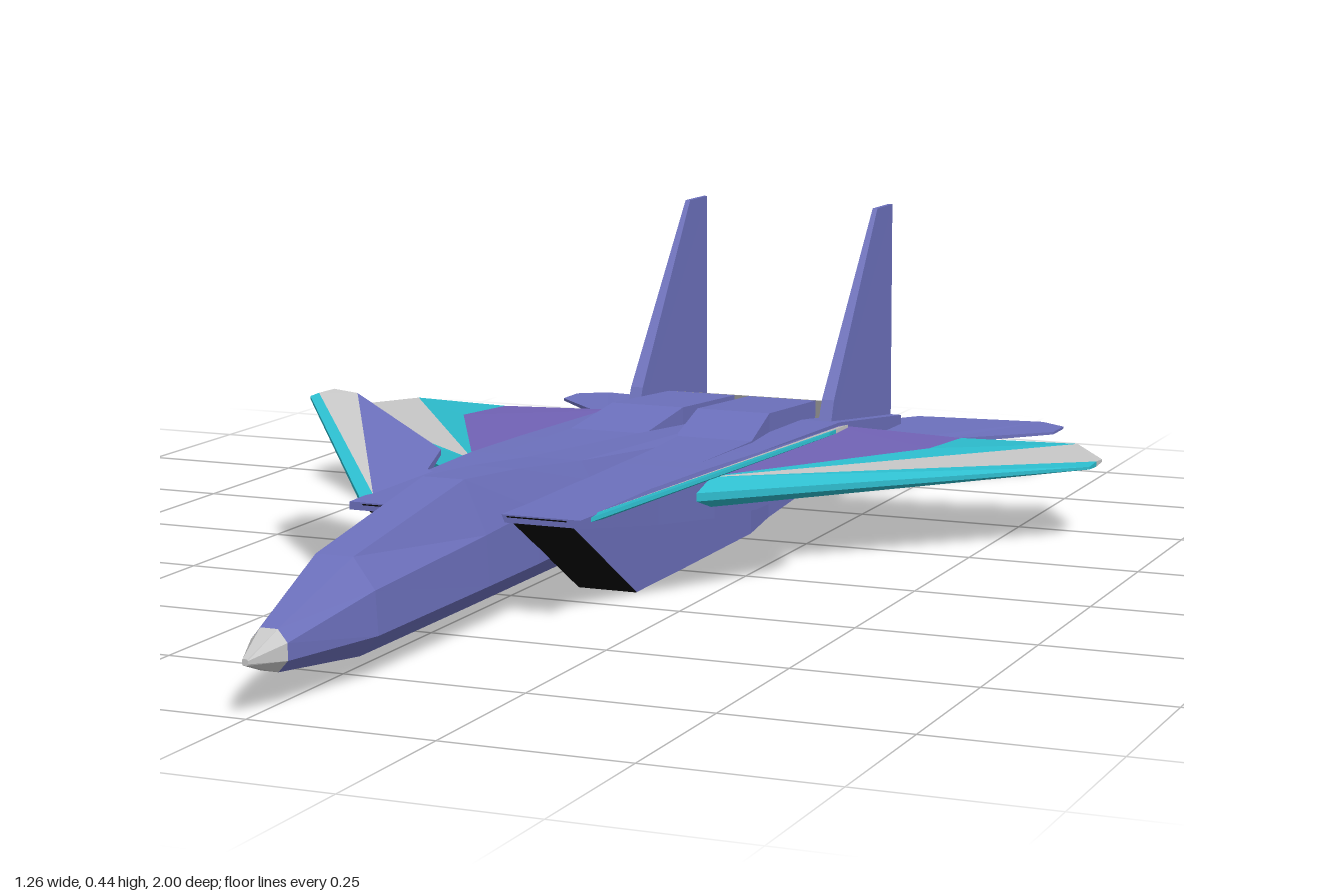
import * as THREE from 'three';

const mat = (name, color) => {
  const m = new THREE.MeshStandardMaterial({ color });
  m.name = name;
  return m;
};

// Flat-shaded solid from triangles; turned outward by its signed volume.
function solid(name, tris, material) {
  const a = new THREE.Vector3(), b = new THREE.Vector3(), c = new THREE.Vector3();
  let volume = 0;
  for (const [p, q, r] of tris) volume += a.set(...p).dot(b.set(...q).cross(c.set(...r)));
  const flat = tris.flatMap(([p, q, r]) => (volume < 0 ? [p, r, q] : [p, q, r])).flat();
  const geo = new THREE.BufferGeometry();
  geo.setAttribute('position', new THREE.Float32BufferAttribute(flat, 3));
  geo.computeVertexNormals();
  const mesh = new THREE.Mesh(geo, material);
  mesh.name = name;
  return mesh;
}

// Skin through rings of equal point count, with both ends capped.
function loft(name, rings, material) {
  const tris = [], n = rings[0].length, last = rings[rings.length - 1];
  for (let i = 0; i + 1 < rings.length; i++) {
    for (let j = 0; j < n; j++) {
      const k = (j + 1) % n, A = rings[i], B = rings[i + 1];
      tris.push([A[j], A[k], B[k]], [A[j], B[k], B[j]]);
    }
  }
  for (let j = 1; j + 1 < n; j++) {
    tris.push([rings[0][0], rings[0][j + 1], rings[0][j]], [last[0], last[j], last[j + 1]]);
  }
  return solid(name, tris, material);
}

// Thin plate from an outline of [u, v, halfThickness]; place(u, v, offset) gives the 3D point.
function plate(name, outline, place, material) {
  const top = outline.map(([u, v, t]) => place(u, v, t));
  const low = outline.map(([u, v, t]) => place(u, v, -t));
  const tris = [];
  const faces = THREE.ShapeUtils.triangulateShape(outline.map(([u, v]) => new THREE.Vector2(u, v)), []);
  for (const [i, j, k] of faces) tris.push([top[i], top[j], top[k]], [low[i], low[k], low[j]]);
  const cw = THREE.ShapeUtils.isClockWise(outline.map(([u, v]) => new THREE.Vector2(u, v)));
  outline.forEach((_, i) => {
    const k = (i + 1) % outline.length;
    const quad = [[top[i], low[i], low[k]], [top[i], low[k], top[k]]];
    const f = faces[0];
    const o = outline;
    const area = (o[f[1]][0] - o[f[0]][0]) * (o[f[2]][1] - o[f[0]][1]) - (o[f[2]][0] - o[f[0]][0]) * (o[f[1]][1] - o[f[0]][1]);
    const flip = (area < 0) !== cw;
    tris.push(...quad.map(([p, q, r]) => (flip ? [p, r, q] : [p, q, r])));
  });
  return solid(name, tris, material);
}

// Rectangular ring, x0..x1 by y0..y1
const rect = (x0, x1, y0, y1, z, zLow = z) => [[x0, y1, z], [x1, y1, z], [x1, y0, zLow], [x0, y0, zLow]];

export function createModel() {
  const hull = mat('hull blue', 0x6c70bc);
  const violet = mat('wing violet', 0x7263b6);
  const cyan = mat('trim cyan', 0x2cbccd);
  const pale = mat('pale grey', 0xc8c8c8);
  const steel = mat('nozzle grey', 0x929292);
  const black = mat('intake black', 0x080808);
  const jet = new THREE.Group();
  jet.name = 'jet';

  // Fuselage: z, then half-width and height at top, shoulder, chine and belly
  const section = ([z, a, ya, b, yb, c, yc, d, yd]) => [
    [a, ya, z], [b, yb, z], [c, yc, z], [d, yd, z], [-d, yd, z], [-c, yc, z], [-b, yb, z], [-a, ya, z],
  ];
  const noseBase = [0.94, 0.012, 0.098, 0.025, 0.082, 0.025, 0.06, 0.012, 0.045];
  jet.add(loft('fuselage', [
    noseBase,
    [0.77, 0.026, 0.155, 0.056, 0.115, 0.06, 0.058, 0.034, 0.03],
    [0.46, 0.03, 0.2, 0.062, 0.128, 0.066, 0.06, 0.036, 0.03],
    [0.3, 0.034, 0.188, 0.062, 0.135, 0.066, 0.06, 0.036, 0.03],
    [0.1, 0.04, 0.167, 0.055, 0.14, 0.06, 0.06, 0.036, 0.03],
    [-0.3, 0.025, 0.142, 0.038, 0.13, 0.038, 0.06, 0.025, 0.035],
    [-0.81, 0.008, 0.115, 0.012, 0.11, 0.012, 0.07, 0.008, 0.06],
  ].map(section), hull));
  jet.add(loft('noseTip', [
    section(noseBase),
    section([1, 0.003, 0.073, 0.004, 0.071, 0.004, 0.067, 0.003, 0.065]),
  ], pale));

  // Broad deck with shoulders, from the intake lips back to the tail
  jet.add(loft('deck', [
    [0.4, 0.17, 0.134, 0.145], [0.15, 0.178, 0.095, 0.145], [-0.03, 0.19, 0.073, 0.143],
    [-0.2, 0.19, 0.056, 0.14], [-0.56, 0.19, 0.05, 0.13],
  ].map(([z, w, y0, y1]) => rect(-w, w, y0, y1, z)), hull));

  for (const s of [1, -1]) {
    const side = new THREE.Group();
    side.name = s > 0 ? 'leftSide' : 'rightSide';
    jet.add(side);
    const box = (...r) => rect(...r).map(([x, y, z]) => [s * x, y, z]);

    // Engine nacelle with a raked intake
    side.add(loft('nacelle', [
      box(0.064, 0.15, 0, 0.143, 0.4, 0.16),
      box(0.05, 0.15, 0, 0.143, 0.0),
      box(0.025, 0.147, 0, 0.14, -0.29),
      box(0.012, 0.13, 0.002, 0.163, -0.41),
      box(0.012, 0.125, 0.015, 0.15, -0.63),
    ], hull));
    side.add(loft('intakeMouth', [
      box(0.064, 0.15, 0, 0.143, 0.403, 0.163),
      box(0.064, 0.15, 0, 0.143, 0.4, 0.16),
    ], black));

    // Nozzle: upper and lower flaps with a splitter wall
    side.add(loft('upperNozzleFlap', [box(0.012, 0.125, 0.11, 0.15, -0.63), box(0.012, 0.125, 0.102, 0.108, -0.88)], steel));
    side.add(loft('lowerNozzleFlap', [box(0.012, 0.125, 0.015, 0.055, -0.63), box(0.012, 0.125, 0.036, 0.042, -0.88)], steel));
    side.add(loft('nozzleWall', [box(0.014, 0.022, 0.03, 0.13, -0.63), box(0.014, 0.022, 0.05, 0.1, -0.8)], steel));

    // Tail boom
    side.add(loft('tailBoom', [box(0.125, 0.19, 0.05, 0.13, -0.56), box(0.13, 0.188, 0.06, 0.095, -0.87)], hull));

    // Main wing: colour wedges fanning from the root
    const flat = (y) => (x, z, t) => [s * x, y + t, z];
    const wing = flat(0.113);
    const apex = [0.18, -0.01, 0.022], tipMid = [0.63, -0.455, 0.004];
    const tipRear = [0.56, -0.603, 0.002], hinge = [0.386, -0.566, 0.005];
    side.add(plate('wingInner', [apex, [0.386, -0.41, 0.014], hinge, [0.17, -0.566, 0.012]], wing, violet));
    side.add(plate('wingBand', [apex, tipRear, hinge, [0.386, -0.41, 0.014]], wing, cyan));
    side.add(plate('wingOuter', [apex, tipMid, [0.63, -0.487, 0.002], tipRear], wing, pale));
    side.add(plate('wingLeadingEdge', [[0.18, 0.035, 0.006], [0.63, -0.418, 0.002], tipMid, apex], wing, cyan));

    // Canard, raised toward the tip
    const canard = (x, z, t) => [s * x, 0.14 + (x - 0.17) * 0.37 + t, z];
    const root = [0.165, 0.34, 0.006], rear = [0.376, -0.026, 0.002], front = [0.4, 0.05, 0.003];
    side.add(plate('canardInner', [root, rear, [0.205, 0.045, 0.004], [0.175, 0.15, 0.006], [0.165, 0.15, 0.006]], canard, hull));
    side.add(plate('canardOuter', [root, front, [0.4, 0.002, 0.002], rear], canard, pale));
    side.add(plate('canardLeadingEdge', [[0.165, 0.375, 0.003], [0.4, 0.077, 0.002], front, root], canard, cyan));

    // Tailplane with a notched leading edge
    side.add(plate('tailplane', [
      [0.125, -0.62, 0.008], [0.19, -0.64, 0.008], [0.285, -0.72, 0.004], [0.285, -0.755, 0.004],
      [0.434, -0.91, 0.002], [0.434, -0.968, 0.002], [0.39, -1, 0.002], [0.19, -0.957, 0.005], [0.125, -0.86, 0.006],
    ], flat(0.075), hull));

    // Upright fin
    side.add(plate('fin', [
      [-0.56, 0.1, 0.011], [-0.585, 0.16, 0.01], [-0.8, 0.44, 0.004], [-0.878, 0.44, 0.003], [-0.87, 0.08, 0.008],
    ], (z, y, t) => [s * (0.162 + t), y, z], hull));
  }
  return jet;
}
